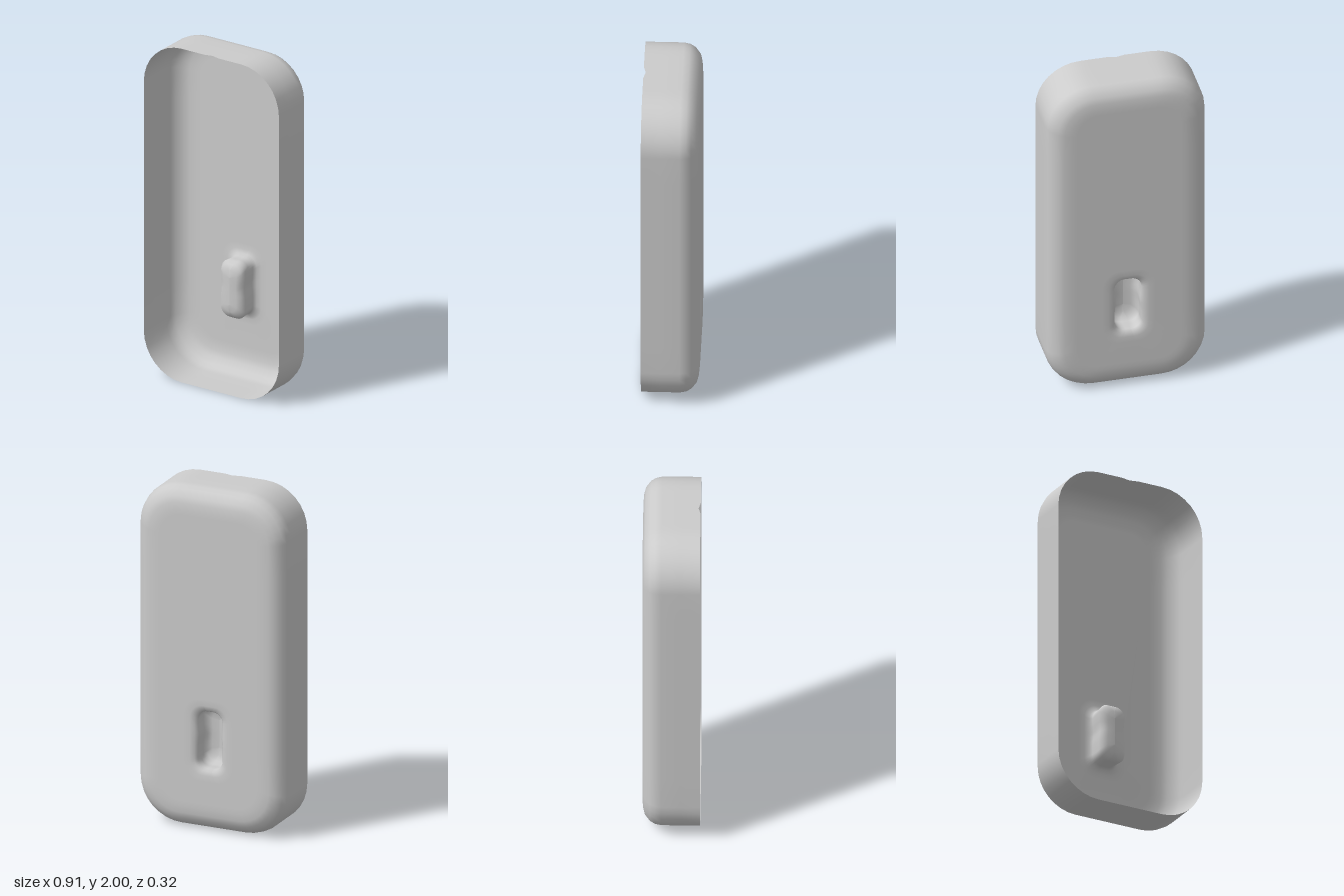
import * as THREE from 'three';

const CORNER = 8; // steps per rounded corner
const EDGE = 8;   // steps per straight edge

// Rounded rectangle in the xy plane, counter-clockwise, same point count for any size
function ring({ hw, hh, cy, r, z, waist = 0 }) {
  const corners = [[1, 1, 0], [-1, 1, 1], [-1, -1, 2], [1, -1, 3]];
  const pts = [];
  corners.forEach(([sx, sy, q], n) => {
    for (let k = 0; k <= CORNER; k++) {
      const a = (q + k / CORNER) * Math.PI / 2;
      pts.push(new THREE.Vector3(sx * (hw - r) + r * Math.cos(a), cy + sy * (hh - r) + r * Math.sin(a), z));
    }
    const [nx, ny, nq] = corners[(n + 1) % 4];
    const a = nq * Math.PI / 2;
    const end = new THREE.Vector3(nx * (hw - r) + r * Math.cos(a), cy + ny * (hh - r) + r * Math.sin(a), z);
    const start = pts[pts.length - 1];
    for (let k = 1; k < EDGE; k++) pts.push(start.clone().lerp(end, k / EDGE));
  });
  // slight pinch halfway up
  pts.forEach(p => { p.x *= 1 - waist * Math.exp(-(((p.y - cy - 0.02) / 0.04) ** 2)); });
  return pts;
}

// Skin a list of rings into one smooth surface
function loft(rings) {
  const n = rings[0].length;
  const index = [];
  for (let j = 0; j < rings.length - 1; j++) {
    for (let i = 0; i < n; i++) {
      const a = j * n + i, b = j * n + (i + 1) % n;
      index.push(a, a + n, b, b, a + n, b + n);
    }
  }
  const geo = new THREE.BufferGeometry().setFromPoints(rings.flat());
  geo.setIndex(index);
  geo.computeVertexNormals();
  return geo;
}

export function createModel() {
  const group = new THREE.Group();
  group.name = 'hollowCover';

  // Outer wall: [inset, z] from the open front rim round to the flat back
  const wall = [[0, 0.16], [0, 0.05], [0, -0.055], [0.007, -0.09], [0.022, -0.118], [0.055, -0.146], [0.09, -0.156], [0.13, -0.16], [0.16, -0.16]]
    .map(([d, z]) => ring({ hw: 0.455 - d, hh: 1 - d, cy: 1, r: 0.255 - d * 0.8, z }));

  // Small nick in the middle of the top rim
  wall[0].forEach(p => { if (p.y > 1.9 && Math.abs(p.x) < 0.02) p.z = 0.148; });

  // Recess pushed in from the back: [half width, half height, radius, z]
  const recess = [
    [0.15, 0.24, 0.1, -0.16], [0.115, 0.205, 0.08, -0.159], [0.088, 0.18, 0.065, -0.153],
    [0.076, 0.168, 0.058, -0.135], [0.077, 0.169, 0.055, -0.09], [0.08, 0.17, 0.055, -0.055],
    [0.068, 0.155, 0.05, -0.032], [0.042, 0.125, 0.04, -0.02], [0, 0.08, 0, -0.016],
  ].map(([hw, hh, r, z], i) => ring({ hw, hh, cy: 0.533, r, z, waist: i > 2 ? 0.09 : 0 }));

  const material = new THREE.MeshStandardMaterial({ color: 0xcccccc, side: THREE.DoubleSide });
  const shell = new THREE.Mesh(loft([...wall, ...recess]), material);
  shell.name = 'shellWithRecess';
  group.add(shell);
  return group;
}
